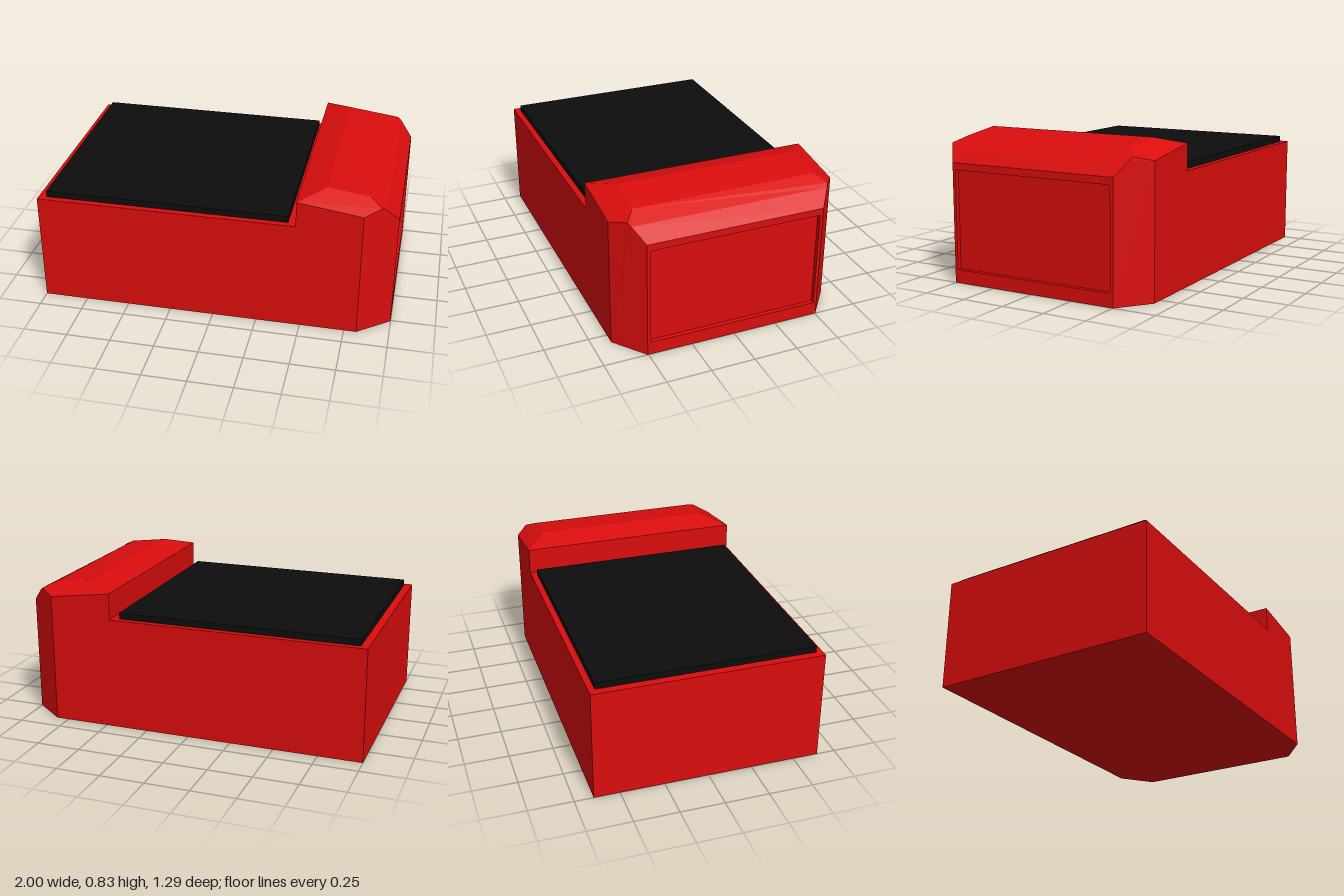
import * as THREE from 'three';

// Collects flat convex polygons; each is turned to face its "out" direction.
function shell() {
  const pos = [];
  const face = (out, ...pts) => {
    const v = pts.map(p => new THREE.Vector3(...p));
    const n = v[1].clone().sub(v[0]).cross(v[2].clone().sub(v[0]));
    if (n.dot(new THREE.Vector3(...out)) < 0) v.reverse();
    for (let i = 1; i < v.length - 1; i++)
      for (const p of [v[0], v[i], v[i + 1]]) pos.push(p.x, p.y, p.z);
  };
  const flip = ([x, y, z]) => [x, y, -z];
  // the same polygon on both sides
  const pair = (out, ...pts) => {
    face(out, ...pts);
    face(flip(out), ...pts.map(flip));
  };
  // one polygon spanning from side to side, given its +z edge
  const span = (out, ...pts) => face(out, ...pts, ...pts.map(flip).reverse());
  const build = (name, material) => {
    const g = new THREE.BufferGeometry();
    g.setAttribute('position', new THREE.Float32BufferAttribute(pos, 3));
    g.computeVertexNormals();
    const m = new THREE.Mesh(g, material);
    m.name = name;
    return m;
  };
  return { face, pair, span, build };
}

export function createModel() {
  const red = new THREE.MeshStandardMaterial({ color: 0xd90d0d });
  red.name = 'red';
  const black = new THREE.MeshStandardMaterial({ color: 0x0d0d0d });
  black.name = 'black';

  const W = 0.645, DECK = 0.64;

  // Low bed: deck, end wall, sides and underside
  const bed = shell();
  bed.span([0, 1, 0], [-1, DECK, W], [0.46, DECK, W]);
  bed.span([-1, 0, 0], [-1, 0, W], [-1, DECK, W]);
  bed.pair([0, 0, 1], [-1, 0, W], [0.46, 0, W], [0.46, DECK, W], [-1, DECK, W]);
  bed.span([0, -1, 0], [-1, 0, W], [0.82, 0, W], [1, 0, 0.505]);

  // Raised chamfered end block, corner points on the +z side
  const rim = [0.46, 0.79, W], shoulder = [0.82, 0.74, W];
  const ridge = [0.61, 0.83, 0.52], crest = [0.84, 0.8, 0.52];
  const corner = [0.91, 0.765, 0.574], brow = [0.93, 0.75, 0.56];
  const lip = [1, 0.67, 0.505];
  const head = shell();
  head.span([-1, 0, 0], [0.46, DECK, W], rim);
  head.span([0, 1, 0], rim, ridge);
  head.span([0, 1, 0], ridge, crest);
  head.span([1, 1, 0], crest, corner, brow);
  head.span([1, 1, 0], brow, lip);
  head.pair([0, 0, 1], [0.46, 0, W], [0.82, 0, W], shoulder, rim);
  head.pair([0, 1, 1], rim, shoulder, corner, crest, ridge);
  head.pair([1, 0, 1], [0.82, 0, W], [1, 0, 0.505], lip, brow, corner, shoulder);

  // End face: frame around a shallow recessed panel
  const rect = (x, y0, y1, z) => [[x, y0, z], [x, y0, -z], [x, y1, -z], [x, y1, z]];
  const outer = rect(1, 0, 0.67, 0.505);
  const inner = rect(1, 0.075, 0.63, 0.487);
  const floor = rect(0.975, 0.075, 0.63, 0.487);
  const inward = [[0, 1, 0], [0, 0, 1], [0, -1, 0], [0, 0, -1]];
  for (let i = 0; i < 4; i++) {
    const j = (i + 1) % 4;
    head.face([1, 0, 0], outer[i], outer[j], inner[j], inner[i]);
    head.face(inward[i], inner[i], inner[j], floor[j], floor[i]);
  }
  const panel = shell();
  panel.face([1, 0, 0], ...floor);

  // Flat dark cover lying on the deck
  const cover = new THREE.Mesh(new THREE.BoxGeometry(1.37, 0.036, 1.22), black);
  cover.name = 'cover';
  cover.position.set(-0.27, DECK + 0.018, 0);

  const model = new THREE.Group();
  model.name = 'model';
  model.add(
    bed.build('bed', red),
    head.build('raisedEnd', red),
    panel.build('recessedPanel', red),
    cover
  );
  return model;
}
